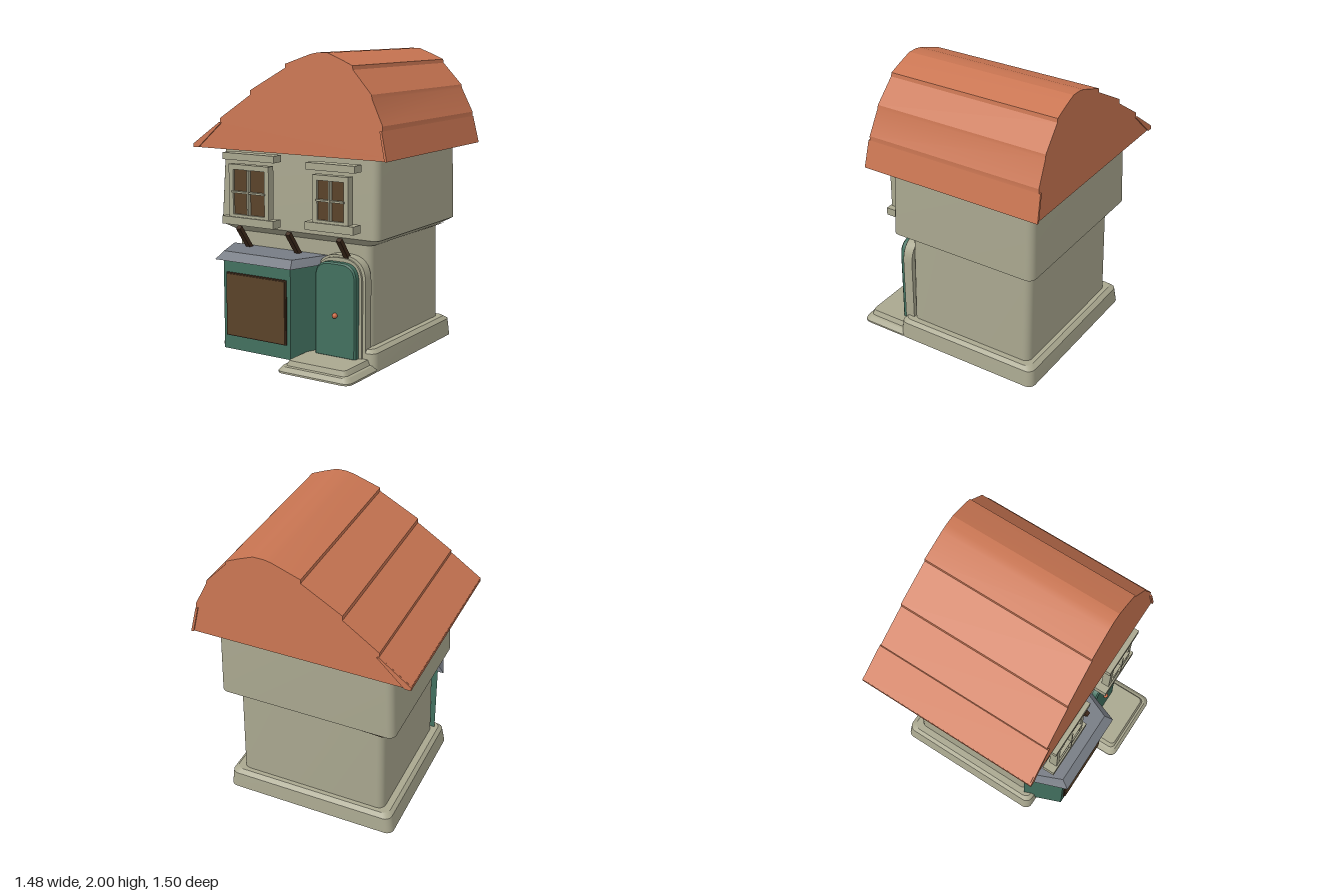
import * as THREE from 'three';
import { toCreasedNormals } from 'three/addons/utils/BufferGeometryUtils.js';

const mat = (name, color, side = THREE.FrontSide) => {
  const m = new THREE.MeshStandardMaterial({ color, side });
  m.name = name;
  return m;
};

// Rounded rectangle outline in plan
function roundRect(x0, x1, z0, z1, r) {
  const pts = [], n = 5;
  [[x1 - r, z1 - r], [x0 + r, z1 - r], [x0 + r, z0 + r], [x1 - r, z0 + r]].forEach(([cx, cz], q) => {
    for (let i = 0; i <= n; i++) {
      const a = (q + i / n) * Math.PI / 2;
      pts.push([cx + r * Math.cos(a), cz + r * Math.sin(a)]);
    }
  });
  return pts;
}

// Capped solid through plan outlines, each given as [height, points]
function loft(rings) {
  const pos = [], idx = [], n = rings[0][1].length;
  for (const [y, pts] of rings) for (const [x, z] of pts) pos.push(x, y, z);
  for (let k = 0; k < rings.length - 1; k++) {
    for (let i = 0; i < n; i++) {
      const a = k * n + i, b = k * n + (i + 1) % n;
      idx.push(a, a + n, b, b, a + n, b + n);
    }
  }
  [0, rings.length - 1].forEach((k) => {
    const [y, pts] = rings[k], c = pos.length / 3;
    pos.push(pts.reduce((s, p) => s + p[0], 0) / n, y, pts.reduce((s, p) => s + p[1], 0) / n);
    for (let i = 0; i < n; i++) {
      const a = k * n + i, b = k * n + (i + 1) % n;
      if (k) idx.push(c, b, a); else idx.push(c, a, b);
    }
  });
  const g = new THREE.BufferGeometry();
  g.setAttribute('position', new THREE.Float32BufferAttribute(pos, 3));
  g.setIndex(idx);
  return toCreasedNormals(g, 0.5);
}

// Roof section run from back to front, with the gables leaning inwards
function roofRun(profile, extra = 0) {
  const shape = new THREE.Shape(profile.map(([x, y]) => new THREE.Vector2(x, y)));
  const g = new THREE.ExtrudeGeometry(shape, { depth: 1, bevelEnabled: false });
  const p = g.attributes.position;
  for (let i = 0; i < p.count; i++) {
    const t = (p.getY(i) - 1.36) / 0.64;
    p.setZ(i, p.getZ(i) > 0.5 ? 0.52 - 0.035 * t + extra : -0.74 + 0.03 * t - extra);
  }
  return toCreasedNormals(g, 0.3);
}

// Upright panel with rounded top corners
function archShape(x0, x1, y0, y1, r) {
  const s = new THREE.Shape();
  s.moveTo(x0, y0);
  s.lineTo(x1, y0);
  s.lineTo(x1, y1 - r);
  s.quadraticCurveTo(x1, y1, x1 - r, y1);
  s.lineTo(x0 + r, y1);
  s.quadraticCurveTo(x0, y1, x0, y1 - r);
  return s;
}

export function createModel() {
  const wall = mat('stone wall', 0xa9a78f);
  const roof = mat('terracotta roof', 0xc97552);
  const green = mat('green paint', 0x42705f);
  const slate = mat('grey slate', 0x777c84);
  const glass = mat('brown glass', 0x5a4229);
  const wood = mat('dark wood', 0x3f2a1b, THREE.DoubleSide);
  const copper = mat('copper', 0xcc6a45);

  const house = new THREE.Group();
  house.name = 'house';
  const add = (name, geo, m, parent = house) => {
    const mesh = new THREE.Mesh(geo, m);
    mesh.name = name;
    parent.add(mesh);
    return mesh;
  };
  const box = (name, x0, x1, y0, y1, z0, z1, m, parent) => {
    const mesh = add(name, new THREE.BoxGeometry(x1 - x0, y1 - y0, z1 - z0), m, parent);
    mesh.position.set((x0 + x1) / 2, (y0 + y1) / 2, (z0 + z1) / 2);
    return mesh;
  };

  // Walls
  add('plinth', loft([
    [0, roundRect(-0.61, 0.61, -0.65, 0.43, 0.05)],
    [0.115, roundRect(-0.59, 0.6, -0.64, 0.42, 0.05)],
    [0.138, roundRect(-0.565, 0.575, -0.61, 0.4, 0.05)],
  ]), wall);
  add('groundFloor', loft([
    [0.13, roundRect(-0.52, 0.535, -0.58, 0.355, 0.05)],
    [0.82, roundRect(-0.505, 0.525, -0.575, 0.35, 0.05)],
  ]), wall);
  add('upperFloor', loft([
    [0.795, roundRect(-0.53, 0.54, -0.58, 0.355, 0.05)],
    [0.845, roundRect(-0.605, 0.625, -0.65, 0.43, 0.05)],
    [0.86, roundRect(-0.605, 0.625, -0.65, 0.43, 0.05)],
    [1.38, roundRect(-0.58, 0.615, -0.64, 0.415, 0.05)],
  ]), wall);

  // Floor timbers showing through the underside of the jetty
  const timber = new THREE.BufferGeometry();
  timber.setAttribute('position', new THREE.Float32BufferAttribute([
    0.545, 0.793, -0.15, 0.545, 0.793, -0.57, 0.58, 0.812, -0.57,
    -0.2, 0.793, -0.588, -0.52, 0.793, -0.588, -0.52, 0.82, -0.63], 3));
  timber.computeVertexNormals();
  add('floorTimbers', timber, wood);

  // Lopsided roof with overlapping tile courses
  add('roof', roofRun([
    [-0.74, 1.36], [0.74, 1.36], [0.735, 1.385], [0.7, 1.54], [0.7, 1.57], [0.62, 1.73], [0.615, 1.755],
    [0.48, 1.9], [0.475, 1.925], [0.38, 1.966], [0.29, 2], [0.22, 2], [0.17, 1.99],
    [-0.02, 1.925], [-0.02, 1.9], [-0.29, 1.75], [-0.29, 1.72], [-0.53, 1.56], [-0.53, 1.535], [-0.74, 1.385],
  ]), roof);
  add('leftEave', roofRun([[0.725, 1.36], [0.742, 1.36], [0.7, 1.54], [0.685, 1.54]], 0.01), roof);
  add('rightEave', roofRun([[-0.742, 1.36], [-0.7, 1.36], [-0.515, 1.53], [-0.53, 1.535], [-0.742, 1.382]], 0.01), roof);

  // Upper windows: centre x, glass half width, glass bottom and top, ledge half width
  [[-0.28, 0.125, 0.94, 1.235, 0.205], [0.347, 0.098, 0.965, 1.215, 0.18]].forEach(([x, w, y0, y1, ledge], i) => {
    const win = new THREE.Group();
    win.name = i ? 'leftWindow' : 'rightWindow';
    house.add(win);
    const f = 0.034;
    box('glass', x - w, x + w, y0, y1, 0.5, 0.525, glass, win);
    for (const s of [-1, 1]) {
      const c = x + s * (w + f / 2);
      box('frameSide', c - f / 2, c + f / 2, y0 - 0.02, y1 + f, 0.485, 0.54, wall, win);
    }
    box('frameTop', x - w, x + w, y1, y1 + f, 0.485, 0.54, wall, win);
    box('frameBottom', x - w, x + w, y0 - 0.02, y0, 0.485, 0.54, wall, win);
    box('uprightBar', x - 0.006, x + 0.006, y0, y1, 0.525, 0.553, wall, win);
    const mid = (y0 + y1) / 2;
    box('crossBar', x - w - 0.008, x + w + 0.008, mid - 0.006, mid + 0.006, 0.525, 0.55, wall, win);
    box('sill', x - ledge - 0.005, x + ledge - 0.005, y0 - 0.07, y0 - 0.018, 0.465, 0.55, wall, win);
    box('lintel', x - ledge + 0.005, x + ledge + 0.002, y1 + 0.063, y1 + 0.108, 0.465, 0.55, wall, win);
  });

  // Slanted braces under the jetty
  for (const x of [-0.385, 0.008, 0.393]) {
    const brace = add('brace', new THREE.BoxGeometry(0.033, 0.27, 0.03), wood);
    brace.position.set(x, 0.74, 0.425);
    brace.rotation.x = 0.66;
  }

  // Shop bay with its canopy
  const trapezoid = (x0, x1, z1, spread) =>
    [[x1 + spread, 0.35], [x1, z1], [x0, z1], [x0 - spread, 0.35]];
  const bay = trapezoid(-0.44, 0.09, 0.605, 0.1);
  add('bay', loft([[0.045, bay], [0.66, bay]]), green);
  add('canopy', loft([
    [0.65, trapezoid(-0.47, 0.125, 0.657, 0.113)],
    [0.7, trapezoid(-0.44, 0.1, 0.6, 0.105)],
  ]), slate);
  box('bayWindowFrame', -0.415, 0.062, 0.138, 0.565, 0.6, 0.613, wood);
  box('bayWindow', -0.405, 0.052, 0.147, 0.556, 0.6, 0.62, glass);

  // Door, surround and knob
  const surround = new THREE.ExtrudeGeometry(archShape(0.17, 0.535, 0.05, 0.73, 0.16),
    { depth: 0.07, bevelEnabled: false, curveSegments: 8 });
  surround.translate(0, 0, 0.35);
  add('doorSurround', toCreasedNormals(surround, 0.5), wall);
  const trim = new THREE.ExtrudeGeometry(archShape(0.18, 0.515, 0.05, 0.715, 0.15),
    { depth: 0.02, bevelEnabled: false, curveSegments: 8 });
  trim.translate(0, 0, 0.415);
  add('doorTrim', toCreasedNormals(trim, 0.5), wall);
  const door = new THREE.ExtrudeGeometry(archShape(0.19, 0.495, 0.07, 0.69, 0.11),
    { depth: 0.035, bevelEnabled: true, bevelThickness: 0.01, bevelSize: 0.01, bevelOffset: -0.01, bevelSegments: 1, curveSegments: 8 });
  door.translate(0, 0, 0.433);
  add('door', toCreasedNormals(door, 0.5), green);
  add('knob', new THREE.SphereGeometry(0.018, 12, 8), copper).position.set(0.347, 0.348, 0.485);

  // Doorstep in two chamfered tiers
  add('doorstep', loft([
    [0, roundRect(0.07, 0.61, 0.36, 0.745, 0.05)],
    [0.012, roundRect(0.07, 0.61, 0.36, 0.745, 0.05)],
    [0.04, roundRect(0.095, 0.585, 0.36, 0.725, 0.04)],
    [0.045, roundRect(0.115, 0.57, 0.36, 0.71, 0.035)],
    [0.078, roundRect(0.135, 0.555, 0.36, 0.7, 0.03)],
  ]), wall);

  return house;
}
